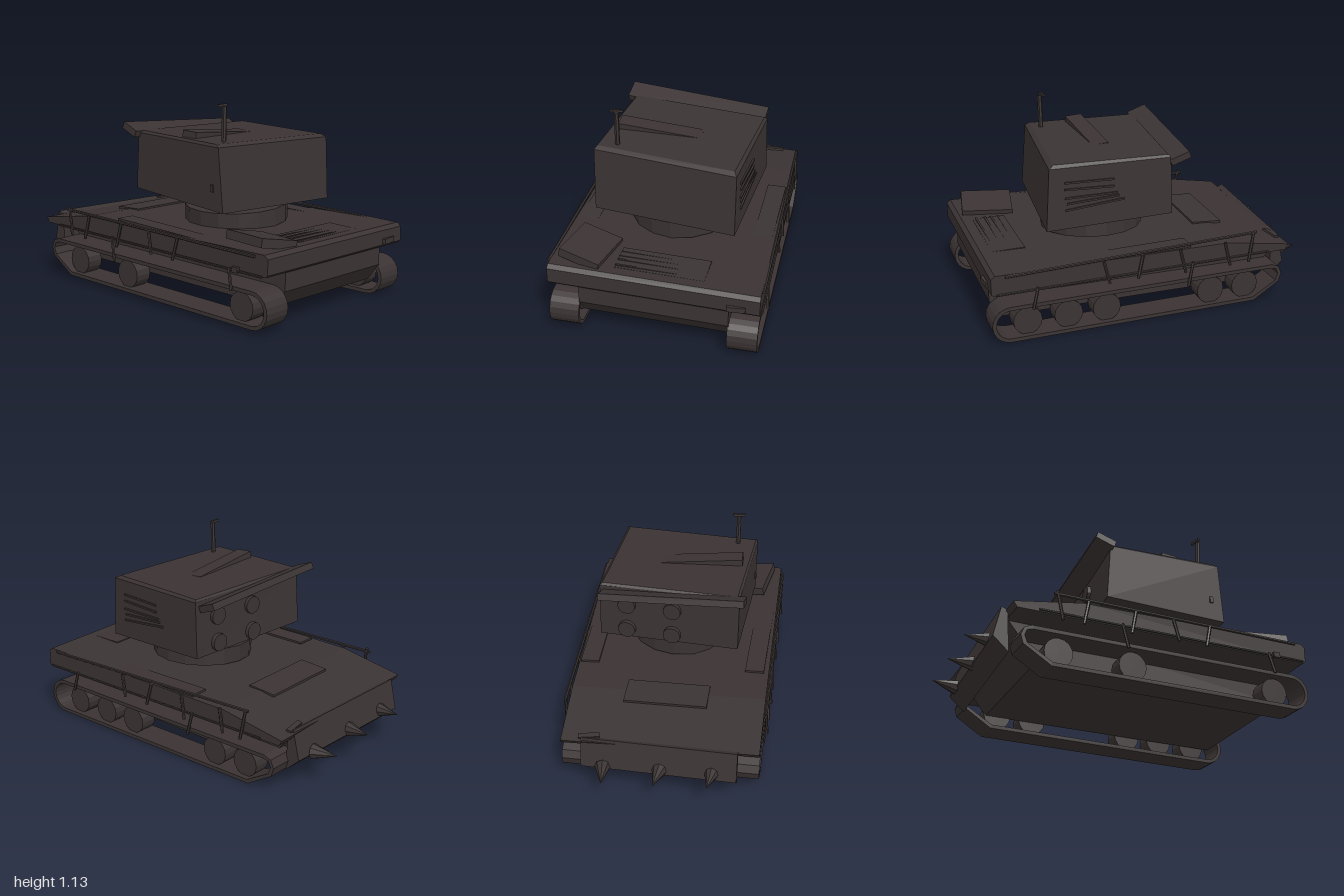
import * as THREE from 'three';

const armour = new THREE.MeshStandardMaterial({ color: 0x3b3333, flatShading: true });
armour.name = 'dark armour';

export function createModel() {
  const model = new THREE.Group();
  model.name = 'crookedTank';

  const add = (name, geo, pos = [0, 0, 0], rot = [0, 0, 0], parent = model) => {
    const m = new THREE.Mesh(geo, armour);
    m.name = name;
    m.position.set(...pos);
    m.rotation.set(...rot);
    parent.add(m);
    return m;
  };
  const box = (name, size, pos, rot, parent) => add(name, new THREE.BoxGeometry(...size), pos, rot, parent);

  // Move every vertex by a rule
  const bend = (geo, rule) => {
    const p = geo.attributes.position, v = new THREE.Vector3();
    for (let i = 0; i < p.count; i++) {
      v.fromBufferAttribute(p, i);
      rule(v);
      p.setXYZ(i, v.x, v.y, v.z);
    }
    geo.computeVertexNormals();
    return geo;
  };

  // Extrude a (z, y) side profile from x0 to x1
  const toPoints = pts => pts.map(p => new THREE.Vector2(...p));
  const toShape = pts => new THREE.Shape(toPoints(pts));
  const extrudeX = (shape, x0, x1) =>
    new THREE.ExtrudeGeometry(shape, { depth: x1 - x0, bevelEnabled: false })
      .rotateY(-Math.PI / 2).translate(x1, 0, 0);

  // Six-sided block from corners: bottom then top, each front-left, front-right, rear-right, rear-left
  const block = c => bend(new THREE.BoxGeometry(2, 2, 2), v => {
    const ring = v.z > 0 ? (v.x < 0 ? 0 : 1) : (v.x > 0 ? 2 : 3);
    v.set(...c[(v.y > 0 ? 4 : 0) + ring]);
  });

  const rod = (name, a, b, r, parent = model) => {
    const p = new THREE.Vector3(...a), q = new THREE.Vector3(...b), d = q.clone().sub(p);
    const m = add(name, new THREE.CylinderGeometry(r, r, d.length(), 6), p.clone().add(q).multiplyScalar(0.5).toArray(), [0, 0, 0], parent);
    m.quaternion.setFromUnitVectors(new THREE.Vector3(0, 1, 0), d.normalize());
  };

  // Hull, leaning to one side and narrowing at the rear
  const lean = v => { v.y -= 0.025 * v.x; };
  add('upperHull', bend(extrudeX(toShape([[0.965, 0.697], [0.978, 0.71], [0.978, 0.795], [0.955, 0.815], [-0.42, 0.795], [-0.82, 0.727], [-0.8, 0.695]]), -0.577, 0.598), v => {
    if (v.x > 0) v.x -= 0.035 * (0.97 - v.z);
    lean(v);
  }));
  add('lowerHull', bend(extrudeX(toShape([[0.955, 0.7], [0.955, 0.59], [0.88, 0.49], [-0.62, 0.49], [-0.79, 0.7]]), -0.41, 0.425), lean));

  // Track loops
  const loop = t => {
    const pts = [];
    const r = 0.105 - t;
    for (let i = 0; i <= 10; i++) {
      const a = Math.PI / 2 - Math.PI * i / 10;
      pts.push([0.872 + r * Math.cos(a), 0.497 + r * Math.sin(a)]);
    }
    pts.push([-0.6 + t * 0.3, 0.392 + t], [-0.76 + t, 0.49 + t * 0.4], [-0.775 + t, 0.54], [-0.755 + t * 0.7, 0.585 - t * 0.6], [-0.71 + t * 0.4, 0.602 - t]);
    return pts;
  };
  for (const side of [-1, 1]) {
    const x0 = side < 0 ? -0.578 : 0.42;
    const skew = z => side > 0 ? -0.024 * (0.97 - z) : 0;
    const lift = side < 0 ? 0.02 : 0;
    const belt = toShape(loop(0));
    belt.holes.push(new THREE.Path(toPoints(loop(0.022).reverse())));
    add(side < 0 ? 'rightTrack' : 'leftTrack', bend(extrudeX(belt, x0, x0 + 0.168), v => {
      v.x += skew(v.z);
      v.y += lift;
    }));
    // Road wheels, some lost on each side
    const wheels = side < 0 ? [0.77, -0.12, -0.55] : [0.77, 0.535, 0.31, -0.33, -0.55];
    for (const z of wheels)
      add('roadWheel', new THREE.CylinderGeometry(0.082, 0.082, 0.1, 16),
        [x0 + 0.084 + skew(z), 0.49 + lift, z], [0, 0, Math.PI / 2]);

    // Side rail with crooked stays
    const rx = z => side < 0 ? -0.59 : 0.605 - 0.035 * (0.97 - z);
    const ry = side < 0 ? 0.815 : 0.79;
    rod('sideRail', [rx(0.9), ry, 0.9], [rx(-0.6), 0.825, -0.6], 0.009);
    rod('lowerRail', [rx(0.95), ry - 0.1, 0.95], [rx(-0.68), ry - 0.1, -0.68], 0.007);
    [[0.72, 0.7, 0.58], [0.34, 0.79, 0.66], [0.11, 0.79, 0.66], [-0.12, 0.79, 0.65], [-0.2, 0.7, 0.56], [-0.4, 0.79, 0.65], [-0.58, 0.82, 0.65]].forEach(([z, a, b], i) =>
      rod('railStay', [rx(z), a + ry - 0.79, z], [rx(z) + side * 0.01, b + ry - 0.79, z + (i % 2 ? -0.03 : 0.03)], 0.009));

    // Thin fender panels, mostly sunk into the deck
    box('fenderPanel', [0.11, 0.012, 0.7], [side * 0.5, side < 0 ? 0.818 : 0.791, 0.16], [0.012, side * 0.02, -0.025]);
  }

  // Deck details
  box('stowageBox', [0.24, 0.05, 0.3], [-0.39, 0.845, 0.77], [-0.03, -0.17, -0.2]);
  box('engineGrille', [0.5, 0.01, 0.19], [0.03, 0.811, 0.8], [0.015, 0, -0.028]);
  [0.74, 0.78, 0.82, 0.87].forEach((z, i) =>
    box('grilleSlat', [0.34, 0.012, 0.012], [-0.05, 0.815, z], [0, 0.02 * (i % 2), -0.04]));
  box('rearHatch', [0.48, 0.014, 0.18], [-0.01, 0.794, -0.43], [-0.06, -0.01, -0.022]);
  box('cornerPlate', [0.12, 0.012, 0.03], [0.38, 0.732, -0.78], [-0.18, 0.15, -0.03]);
  box('headlamp', [0.1, 0.03, 0.03], [0.47, 0.72, 0.978], [0, 0.1, -0.02]);
  box('towHook', [0.02, 0.03, 0.04], [-0.59, 0.72, 0.77]);

  // Rear ram with three spikes
  add('rearRam', bend(extrudeX(toShape([[-0.79, 0.73], [-0.825, 0.745], [-0.865, 0.57], [-0.775, 0.49]]), -0.46, 0.42), v => {
    lean(v);
    v.z += 0.045 * v.x;
  }));
  [[-0.315, 0.62, 0.1], [-0.02, 0.6, 0.12], [0.285, 0.58, -0.12]].forEach(([x, y, tilt]) =>
    add('ramSpike', new THREE.ConeGeometry(0.045, 0.15, 8), [x, y, -0.923], [-Math.PI / 2 + 0.08, 0, -tilt]));

  // Turret ring, tipped sideways
  add('turretRing', new THREE.CylinderGeometry(0.3, 0.3, 0.1, 16), [0.005, 0.859, 0.23], [0, 0, 0.045]);

  // Turret with bevelled roof
  const turret = new THREE.Group();
  turret.name = 'turret';
  model.add(turret);
  const rim = [[-0.437, 1.308, 0.5], [0.385, 1.285, 0.585], [0.43, 1.295, -0.11], [-0.388, 1.315, -0.18]];
  const roof = [[-0.425, 1.323, 0.475], [0.368, 1.303, 0.555], [0.415, 1.308, -0.1], [-0.375, 1.328, -0.17]];
  add('turretBody', block([[-0.432, 0.95, 0.53], [0.383, 0.925, 0.605], [0.433, 0.963, -0.12], [-0.388, 0.985, -0.2], ...rim]), undefined, undefined, turret);
  add('turretRoof', block([...rim, ...roof]), undefined, undefined, turret);
  box('rearVisor', [0.84, 0.04, 0.12], [-0.005, 1.302, -0.2], [0.36, -0.075, -0.045], turret);
  box('roofBlock', [0.48, 0.045, 0.1], [-0.13, 1.315, 0.205], [0.05, 0.03, -0.1], turret);

  // Side louvres
  [[1.2, 0.36, 0.28, 0], [1.16, 0.36, 0.28, 0.01], [1.115, 0.35, 0.3, -0.03], [1.09, 0.34, 0.3, -0.08], [1.06, 0.33, 0.34, -0.12]].forEach(([y, z, len, tilt]) =>
    box('sideLouvre', [0.014, 0.01, len], [0.385 + (0.6 - z) * 0.07, y, z], [-tilt, -0.07, 0], turret));
  box('sideKnob', [0.014, 0.04, 0.02], [-0.432, 1.08, 0.45], [0, -0.07, 0], turret);

  // Rear ports
  for (const x of [0.27, 0]) for (const y of [1.025, 1.185])
    add('rearPort', new THREE.CylinderGeometry(0.052, 0.052, 0.03, 14), [x, y, -0.155 + 0.09 * x - (1.2 - y) * 0.06], [Math.PI / 2, 0, 0.09], turret);

  // Periscope
  rod('periscopeMast', [-0.32, 1.31, 0.43], [-0.32, 1.515, 0.435], 0.014, turret);
  box('periscopeHead', [0.075, 0.014, 0.012], [-0.322, 1.52, 0.42], [0, 0.1, 0], turret);

  return model;
}
